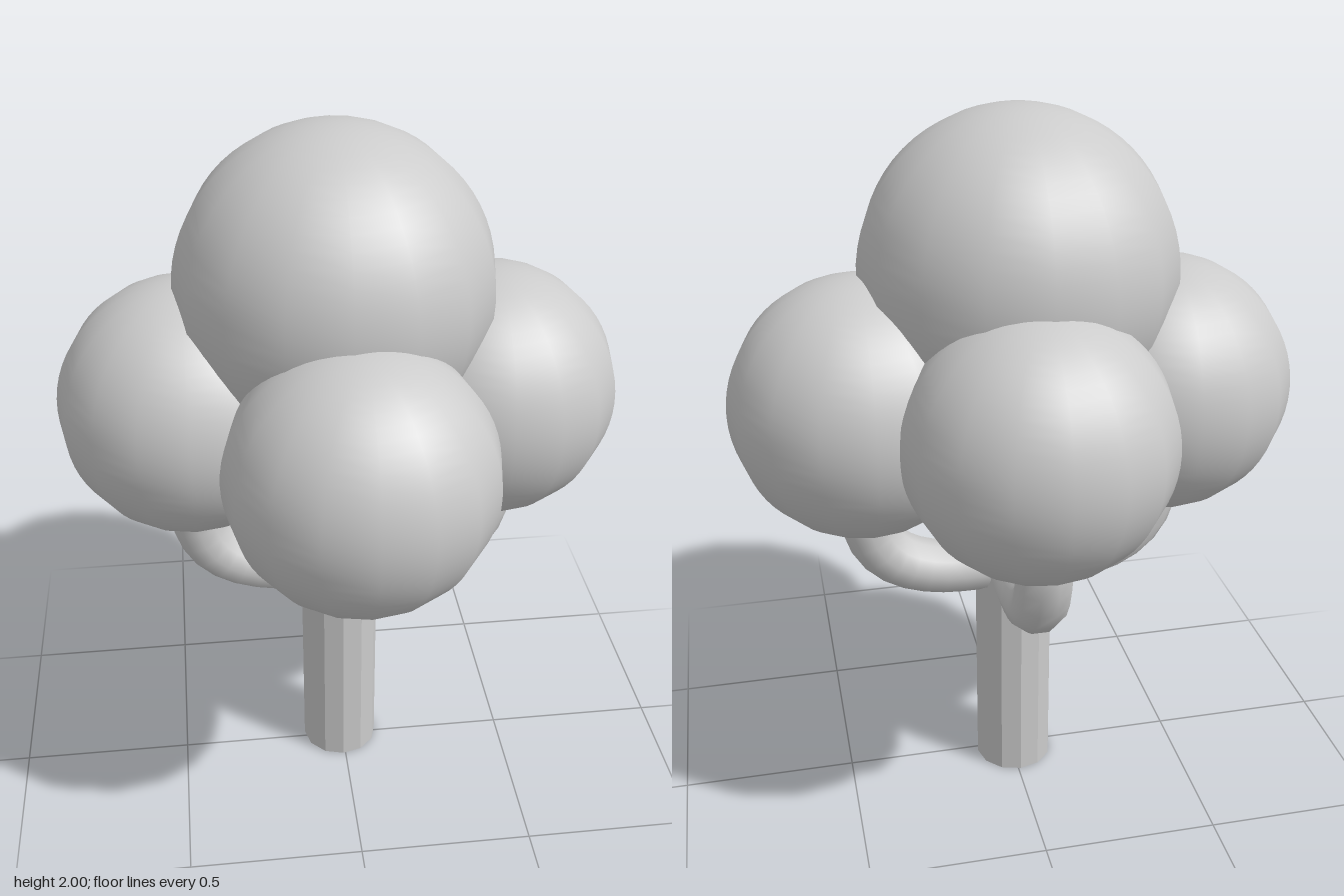
import * as THREE from 'three';

export function createModel() {
  const tree = new THREE.Group();
  tree.name = 'tree';
  const smooth = new THREE.MeshStandardMaterial({ color: 0xcccccc });
  const faceted = new THREE.MeshStandardMaterial({ color: 0xcccccc, flatShading: true });

  function add(name, geometry, material, x, y, z) {
    const mesh = new THREE.Mesh(geometry, material);
    mesh.name = name;
    mesh.position.set(x, y, z);
    tree.add(mesh);
    return mesh;
  }

  // Trunk and the thinner stem that carries the crown
  add('trunk', new THREE.CylinderGeometry(0.113, 0.113, 0.835, 12), faceted, -0.007, 0.4175, -0.02);
  add('stem', new THREE.CylinderGeometry(0.076, 0.076, 0.5, 12), smooth, 0, 1.05, -0.02);

  // Three elbow branches: out from the trunk, then up into the foliage
  const elbow = new THREE.CurvePath();
  const v = (x, y) => new THREE.Vector3(x, y, 0);
  elbow.add(new THREE.LineCurve3(v(0, 0.682), v(0.16, 0.682)));
  elbow.add(new THREE.CubicBezierCurve3(v(0.16, 0.682), v(0.32, 0.69), v(0.41, 0.76), v(0.418, 0.9)));
  elbow.add(new THREE.LineCurve3(v(0.418, 0.9), v(0.418, 1.05)));
  const branchGeometry = new THREE.TubeGeometry(elbow, 14, 0.079, 10);
  const branches = [['leftBranch', 0], ['backBranch', Math.PI / 2], ['rightBranch', Math.PI]];
  for (const [name, turn] of branches) {
    add(name, branchGeometry, smooth, 0, 0, -0.02).rotation.y = turn;
  }

  // Foliage balls: four around the trunk and a larger one on top
  const ball = new THREE.SphereGeometry(0.356, 16, 32);
  add('leftFoliage', ball, smooth, 0.414, 1.228, -0.05);
  add('rightFoliage', ball, smooth, -0.419, 1.228, -0.05);
  add('frontFoliage', ball, smooth, 0.005, 1.228, 0.381);
  add('backFoliage', ball, smooth, 0.005, 1.228, -0.384);
  add('topFoliage', new THREE.SphereGeometry(0.427, 16, 32), smooth, -0.017, 1.573, -0.026);

  return tree;
}
